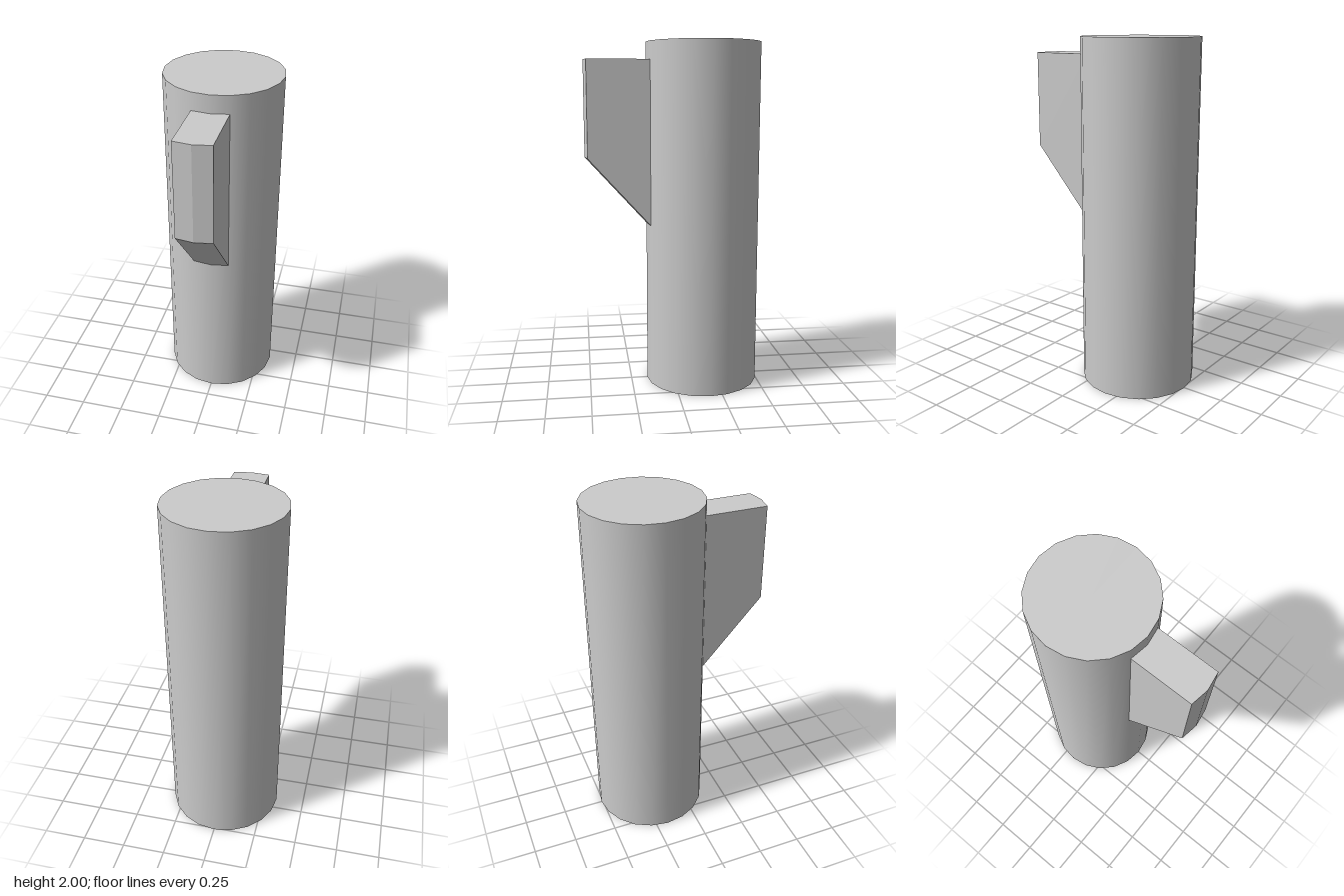
import * as THREE from 'three';

export function createModel() {
  const model = new THREE.Group();
  const radius = 0.331, centreZ = -0.178;

  // Smooth 20-sided capped column
  const column = new THREE.Mesh(
    new THREE.CylinderGeometry(radius, radius, 2, 20),
    new THREE.MeshStandardMaterial({ color: 0xcccccc })
  );
  column.name = 'column';
  column.position.set(0, 1, centreZ);
  model.add(column);

  // Bracket: a box with a sloped underside and a front bent like the column's facets
  const halfWidth = radius * Math.sin(Math.PI / 10);
  const ridge = 0.016;                                // how far the middle line stands forward
  const frontZ = 0.492, backZ = 0.117;                // back is sunk slightly into the column
  const topY = 1.9, lowFrontY = 1.35, slope = 1.1;
  const geometry = new THREE.BoxGeometry(2 * halfWidth, 1, 1, 2, 1, 1);
  const p = geometry.attributes.position;
  for (let i = 0; i < p.count; i++) {
    const z = p.getZ(i) > 0 ? frontZ : backZ;
    const y = p.getY(i) > 0 ? topY : lowFrontY - (frontZ - z) * slope;
    const bend = Math.abs(p.getX(i)) < 1e-6 ? ridge : 0;
    p.setXYZ(i, p.getX(i), y, z + bend);
  }
  geometry.computeVertexNormals();
  const bracket = new THREE.Mesh(
    geometry,
    new THREE.MeshStandardMaterial({ color: 0xcccccc, flatShading: true })
  );
  bracket.name = 'bracket';
  model.add(bracket);

  return model;
}
